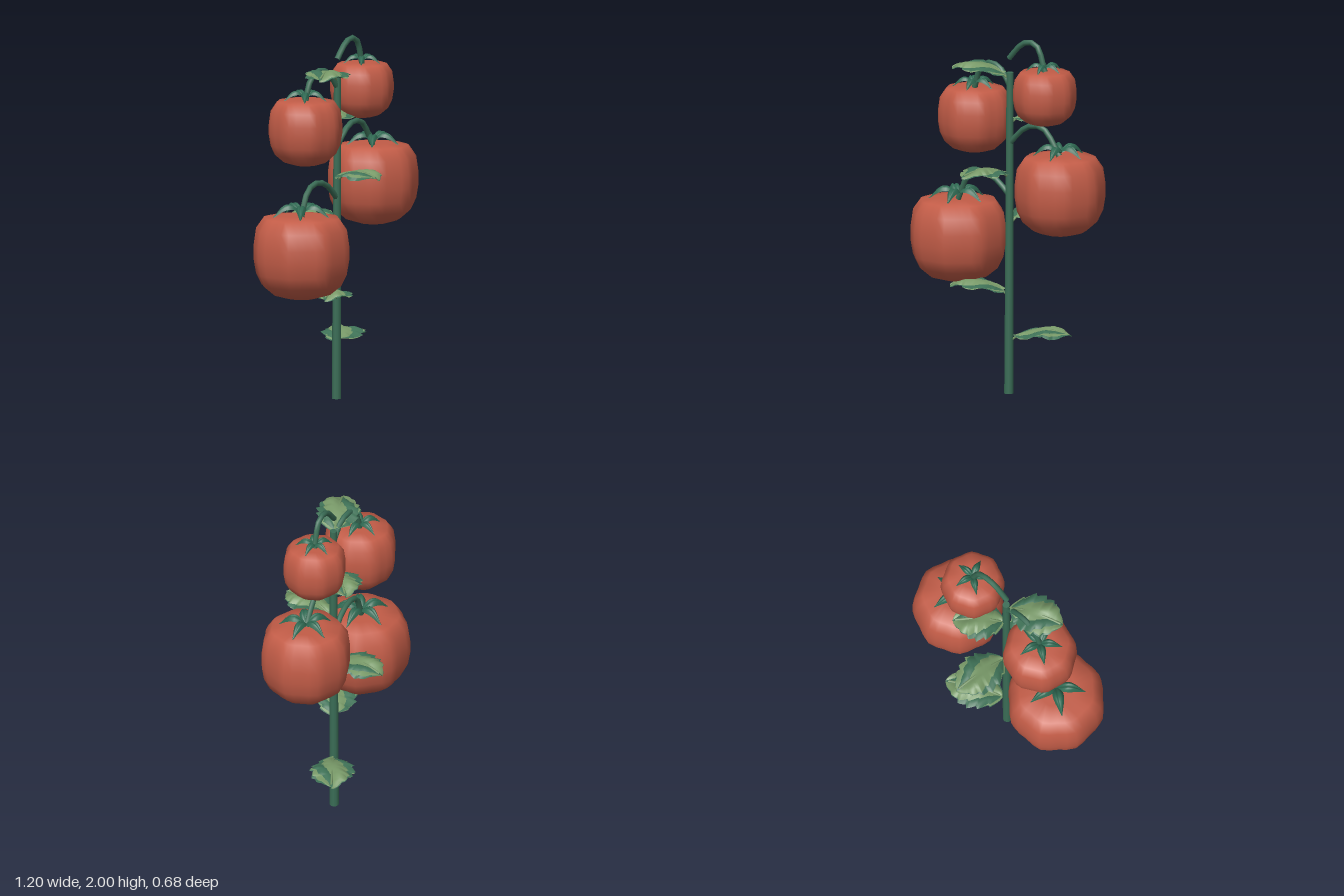
import * as THREE from 'three';
import { mergeVertices } from 'three/addons/utils/BufferGeometryUtils.js';

const material = (name, color, side = THREE.FrontSide) => {
  const m = new THREE.MeshStandardMaterial({ color, side });
  m.name = name;
  return m;
};

// Smooth surface from a rule (i, j) -> [x, y, z] on a rows x cols grid
function gridGeometry(rows, cols, rule) {
  const pos = [], index = [];
  for (let i = 0; i <= rows; i++) {
    for (let j = 0; j <= cols; j++) {
      pos.push(...rule(i / rows, j / cols));
      if (i < rows && j < cols) {
        const a = i * (cols + 1) + j, b = a + cols + 1;
        index.push(a, a + 1, b, b, a + 1, b + 1);
      }
    }
  }
  const g = new THREE.BufferGeometry();
  g.setAttribute('position', new THREE.Float32BufferAttribute(pos, 3));
  g.setIndex(index);
  g.computeVertexNormals();
  return g;
}

// Ribbed fruit: lathe profile pushed in and out around eight lobes
function fruitGeometry(R, height, phase) {
  const profile = [[0, 0.01], [0.3, 0], [0.6, 0.05], [0.83, 0.16], [0.95, 0.3], [1, 0.47],
    [1, 0.63], [0.95, 0.83], [0.78, 0.97], [0.4, 1], [0, 0.96]];
  let g = new THREE.LatheGeometry(
    profile.map(([r, h]) => new THREE.Vector2(r * R, h * height)), 32);
  const p = g.attributes.position;
  for (let i = 0; i < p.count; i++) {
    const x = p.getX(i), z = p.getZ(i);
    const k = 0.985 + 0.03 * Math.cos(8 * Math.atan2(z, x) + phase);
    p.setX(i, x * k);
    p.setZ(i, z * k);
  }
  g.deleteAttribute('uv');
  g.deleteAttribute('normal');
  g = mergeVertices(g, 1e-5);
  g.computeVertexNormals();
  return g;
}

// Arched, two-lobed sepal of unit fruit radius, pointing along +x
const sepalGeometry = gridGeometry(10, 8, (t, s) => {
  const u = s * 2 - 1;
  const w = 0.03 + 0.1 * Math.pow(Math.sin(Math.PI * Math.pow(t, 0.85)), 0.9) * (1 - 0.2 * t);
  const y = 0.05 + 0.17 * Math.sin(Math.PI * Math.min(1, t * 1.05)) - 0.08 * t * t;
  const pad = 0.05 * Math.sin(Math.PI * Math.abs(u)) - 0.06 * u * u;
  return [0.62 * t, y + pad * Math.sin(Math.PI * t), w * (1 - t * t * t * 0.85) * u];
});

// Serrated, wavy blade along +x; sign flips the ripple so paired layers interleave
function bladeGeometry(length, width, rise, sign) {
  return gridGeometry(36, 12, (t, s) => {
    const u = s * 2 - 1, a = Math.abs(u);
    const lobe = Math.pow(Math.sin(Math.PI * Math.pow(t, 0.85)), 0.75);
    const tooth = (t * 6) % 1;
    const w = width * lobe * (0.86 + 0.2 * tooth) * (sign > 0 ? 0.96 : 1);
    const x = length * (0.13 + 0.87 * t) - 0.025 * a * (1 - t) + 0.02 * a * Math.sin(Math.PI * t);
    const arch = rise * Math.sin(Math.PI * (0.1 + 0.72 * t));
    const fold = 0.035 * a * lobe - 0.05 * a * a * lobe;
    const wave = 0.008 * Math.sin(t * 13 + u * 2) * a;
    const ripple = sign * (0.004 + 0.008 * Math.sin(u * 4 + t * 5));
    return [x, arch + fold + wave + ripple * lobe, w * u];
  });
}

export function createModel() {
  const root = new THREE.Group();
  root.name = 'fruitingPlant';
  const red = material('tomatoRed', 0xc25c47);
  const stemGreen = material('stemGreen', 0x3a6d56);
  const calyxGreen = material('calyxGreen', 0x2f6a53, THREE.DoubleSide);
  const leafDark = material('leafDarkGreen', 0x3f7257, THREE.DoubleSide);
  const leafLight = material('leafLightGreen', 0x789968, THREE.DoubleSide);

  const add = (parent, name, geometry, mat) => {
    const mesh = new THREE.Mesh(geometry, mat);
    mesh.name = name;
    parent.add(mesh);
    return mesh;
  };

  // Main stem, leaning very slightly
  const stem = add(root, 'mainStem', new THREE.CylinderGeometry(0.02, 0.026, 1.8, 10), stemGreen);
  stem.position.set(0.01, 0.9, 0);
  stem.rotation.z = -0.005;

  // Fruits: centre x, z, bottom, height, radius, lobe phase and the stalk's path
  const fruits = [
    { x: -0.335, z: 0.024, y: 0.6, h: 0.46, R: 0.268, phase: Math.PI,
      path: [[0.01, 1.11], [-0.08, 1.19], [-0.18, 1.22], [-0.27, 1.185], [-0.335, 1.05]] },
    { x: 0.355, z: -0.02, y: 0.935, h: 0.445, R: 0.247, phase: 0,
      path: [[0.02, 1.41], [0.1, 1.49], [0.17, 1.52], [0.25, 1.505], [0.35, 1.37]] },
    { x: -0.25, z: -0.015, y: 1.325, h: 0.365, R: 0.202, phase: 0.8,
      path: [[0.01, 1.73], [-0.06, 1.815], [-0.14, 1.835], [-0.21, 1.79], [-0.25, 1.68]] },
    { x: 0.25, z: -0.015, y: 1.535, h: 0.305, R: 0.173, phase: 0,
      path: [[0.01, 1.88], [0.08, 1.955], [0.14, 1.985], [0.2, 1.965], [0.25, 1.83]] },
  ];
  for (const f of fruits) {
    const group = new THREE.Group();
    group.name = 'fruit';
    root.add(group);
    add(group, 'fruitBody', fruitGeometry(f.R, f.h, f.phase), red).position.set(f.x, f.y, f.z);

    const calyx = new THREE.Group();
    calyx.name = 'calyx';
    calyx.position.set(f.x, f.y + f.h - 0.01 * f.R, f.z);
    calyx.scale.setScalar(f.R);
    group.add(calyx);
    for (let i = 0; i < 5; i++) {
      add(calyx, 'sepal', sepalGeometry, calyxGreen).rotation.y = i * Math.PI * 0.4;
    }

    const curve = new THREE.CatmullRomCurve3(
      f.path.map(([x, y], i) => new THREE.Vector3(x, y, f.z * i / 4)));
    add(group, 'fruitStalk', new THREE.TubeGeometry(curve, 8, 0.016, 8), stemGreen);
  }

  // Leaves: base height, tip x, tip z, arch height
  const leaves = [
    [0.31, 0.31, -0.16, 0.05],
    [0.56, -0.3, 0.15, 0.06],
    [0.965, 0.065, -0.34, 0.05],
    [1.225, -0.065, 0.335, 0.05],
    [1.525, 0.22, -0.2, 0.055],
    [1.775, -0.31, 0.12, 0.06],
  ];
  for (const [y, tx, tz, rise] of leaves) {
    const leaf = new THREE.Group();
    leaf.name = 'leaf';
    leaf.position.set(0.01, y, 0);
    leaf.rotation.y = Math.atan2(-tz, tx);
    root.add(leaf);
    const length = Math.hypot(tx, tz);
    add(leaf, 'leafLowerLayer', bladeGeometry(length, 0.125, rise, -1), leafDark);
    add(leaf, 'leafUpperLayer', bladeGeometry(length, 0.125, rise, 1), leafLight);
    // Stalk running on as the midrib
    const rib = new THREE.CatmullRomCurve3([0, 0.15, 0.4, 0.7, 0.95].map((t) =>
      new THREE.Vector3(length * t, t === 0 ? -0.02
        : rise * Math.sin(Math.PI * (0.1 + 0.72 * (t - 0.13) / 0.87)) + 0.002, 0)));
    add(leaf, 'leafMidrib', new THREE.TubeGeometry(rib, 12, 0.007, 6), leafLight);
  }
  return root;
}
